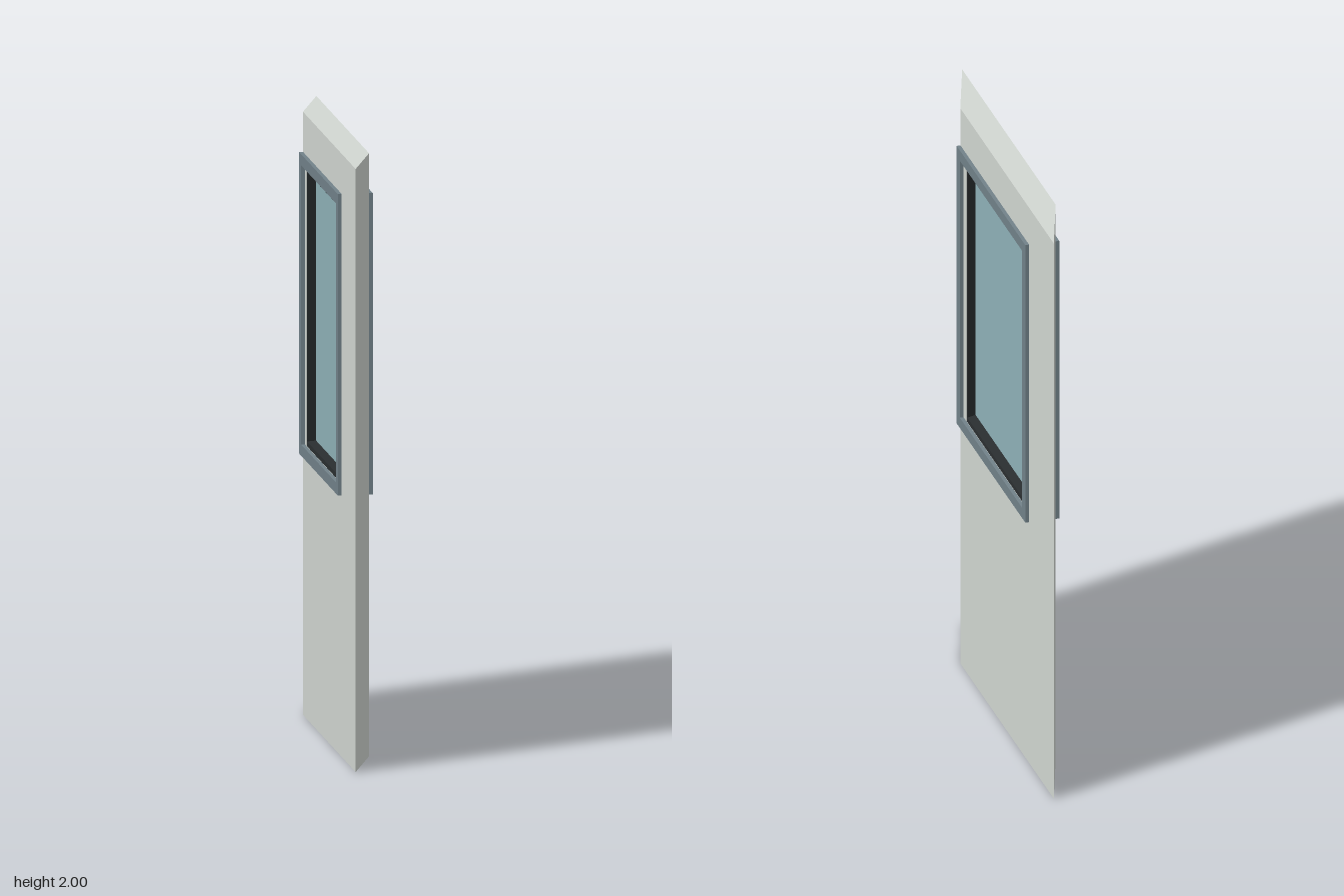
import * as THREE from 'three';

const HALF = 0.045;                 // half thickness of the wall
const Y0 = 0.904, Y1 = 1.83;        // window opening, bottom and top

const paint = (color) => new THREE.MeshStandardMaterial({ color });

function rect(target, x0, x1, y0, y1) {
  target.moveTo(x0, y0);
  target.lineTo(x1, y0);
  target.lineTo(x1, y1);
  target.lineTo(x0, y1);
  target.closePath();
  return target;
}

// Rectangular plate with a rectangular hole, extruded about its mid-plane
function plate(outer, inner, depth) {
  const shape = rect(new THREE.Shape(), ...outer);
  shape.holes.push(rect(new THREE.Path(), ...inner));
  return new THREE.ExtrudeGeometry(shape, { depth, bevelEnabled: false }).translate(0, 0, -depth / 2);
}

// Slide points sideways in proportion to their depth
function skew(geometry, slope) {
  const p = geometry.attributes.position;
  for (let i = 0; i < p.count; i++) {
    p.setX(i, p.getX(i) + p.getZ(i) * slope(p.getX(i)));
  }
  geometry.computeVertexNormals();
  return geometry;
}

export function createModel() {
  const model = new THREE.Group();
  model.name = 'wallWithWindow';
  const panel = new THREE.Group();
  panel.name = 'wallPanel';
  panel.rotation.y = -1.1085;       // the panel stands diagonally
  model.add(panel);

  const add = (name, geometry, material, x = 0, y = 0, z = 0) => {
    const mesh = new THREE.Mesh(geometry, material);
    mesh.name = name;
    mesh.position.set(x, y, z);
    panel.add(mesh);
  };

  const wallPaint = paint(0xd3d8d3);
  const framePaint = paint(0x72828a);
  const darkPaint = paint(0x2b2f31);
  const glassPaint = paint(0x8fb2b9);
  const openingSlope = 0.4;
  const midY = (Y0 + Y1) / 2;

  // Wall: strongly mitred ends, slightly slanted window opening
  const wall = plate([-0.545, 0.545, 0, 2], [-0.345, 0.345, Y0, Y1], HALF * 2);
  add('wall', skew(wall, (x) => (Math.abs(x) > 0.5 ? 0.143 / HALF : openingSlope)), wallPaint);

  // Raised casing on both faces
  for (const side of [1, -1]) {
    const casing = plate([-0.4, 0.4, 0.867, 1.867], [-0.363, 0.363, Y0, Y1], 0.013);
    add(side > 0 ? 'frontCasing' : 'backCasing', casing, framePaint, 0, 0, side * (HALF + 0.0065));
  }

  // Dark lining of the opening
  const slanted = (w, h, d) => skew(new THREE.BoxGeometry(w, h, d), () => openingSlope);
  for (const side of [1, -1]) {
    add('sideLining', slanted(0.004, Y1 - Y0, 0.088), darkPaint, side * 0.343, midY);
    add(side > 0 ? 'topLining' : 'bottomLining', slanted(0.688, 0.016, 0.088), darkPaint,
      0, midY + side * ((Y1 - Y0) / 2 - 0.008));
  }

  // Glass pane in the middle of the wall
  add('glass', slanted(0.684, Y1 - Y0 - 0.03, 0.024), glassPaint, 0, midY);

  return model;
}
